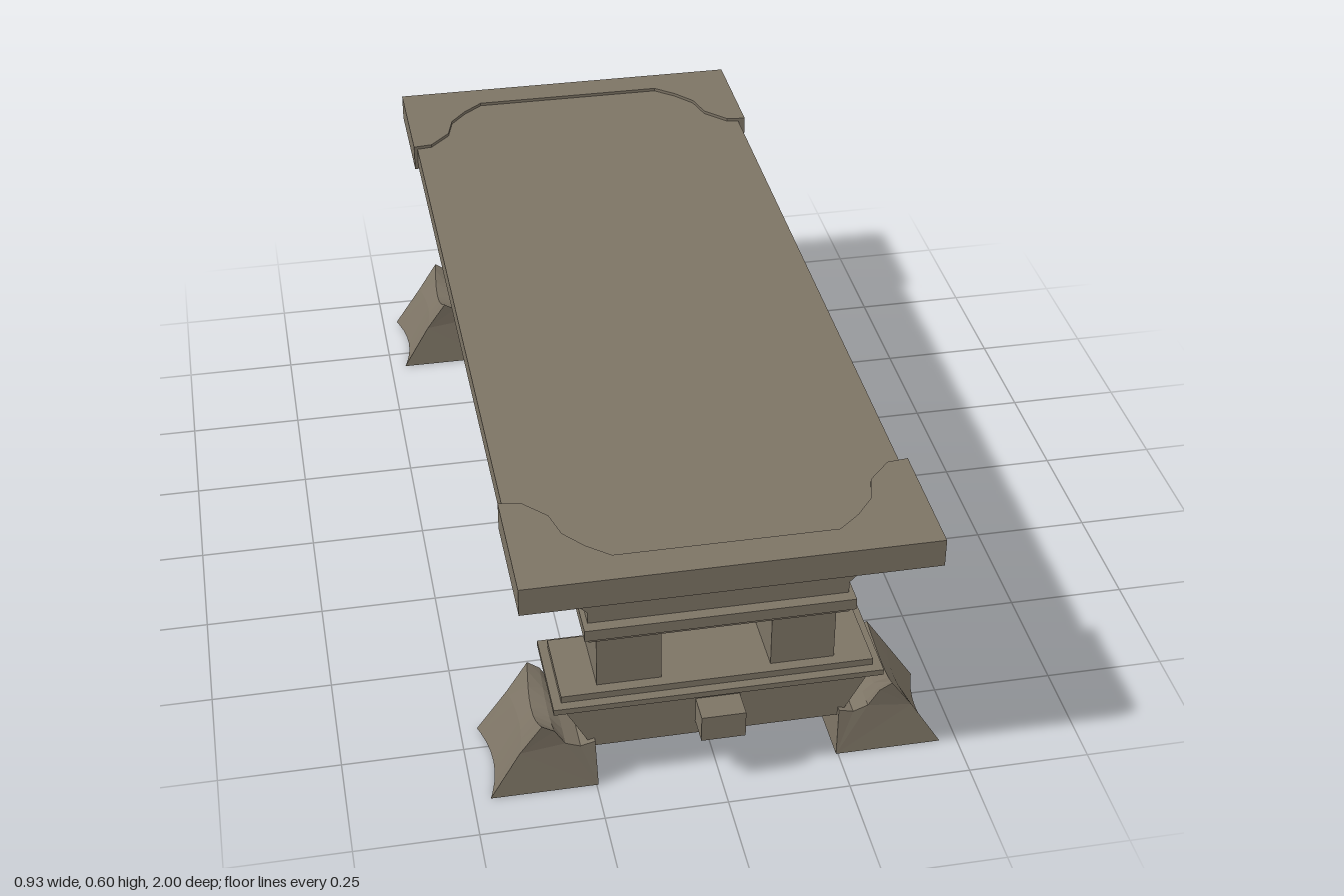
import * as THREE from 'three';

const wood = new THREE.MeshStandardMaterial({ color: 0x7d7465, flatShading: true });
wood.name = 'weathered wood';

function add(parent, name, geometry, x = 0, y = 0, z = 0) {
  const mesh = new THREE.Mesh(geometry, wood);
  mesh.name = name;
  mesh.position.set(x, y, z);
  parent.add(mesh);
  return mesh;
}

// Box given by half width, bottom, top and half depth
function slab(parent, name, hx, y0, y1, hz, x = 0) {
  return add(parent, name, new THREE.BoxGeometry(hx * 2, y1 - y0, hz * 2), x, (y0 + y1) / 2, 0);
}

function extrude(points, depth) {
  const shape = new THREE.Shape(points.map(([x, y]) => new THREE.Vector2(x, y)));
  return new THREE.ExtrudeGeometry(shape, { depth, bevelEnabled: false });
}

// Mirrors the right half of an outline to close it
const mirrored = (half) => [...half, ...half.slice().reverse().map(([x, y]) => [-x, y])];

// Flared foot: sections lofted along z, scooped in the middle, hollow underneath
function footGeometry() {
  const stations = [-1, -0.86, -0.55, -0.28, 0, 0.28, 0.55, 0.86, 1];
  const section = (t) => {
    const s = 1 - t * t;
    const recess = Math.abs(t) > 0.8 ? 0 : 0.08;
    return [
      [0.465 - 0.02 * s, 0], [0.402 - 0.012 * s, 0.1], [0.357 + 0.008 * s, 0.167 - 0.035 * s],
      [0.332, 0.15 - 0.025 * s], [0.31, 0.112], [0.28, 0.1], [0.25, 0.108], [0.246, 0],
      [0.264, 0], [0.295, recess], [0.375, recess], [0.428, 0],
    ];
  };
  const halfDepth = (y) => 0.106 - 0.011 * Math.sin(Math.min(y / 0.167, 1) * Math.PI * 0.8);
  const positions = [], index = [];
  const rings = stations.map(section);
  const n = rings[0].length;
  rings.forEach((ring, k) => ring.forEach(([x, y]) => positions.push(x, y, stations[k] * halfDepth(y))));
  for (let k = 0; k < rings.length - 1; k++) {
    for (let i = 0; i < n; i++) {
      const a = k * n + i, b = k * n + (i + 1) % n;
      index.push(a, b, a + n, b, b + n, a + n);
    }
  }
  // End faces
  const outline = rings[0].map(([x, y]) => new THREE.Vector2(x, y));
  const last = (rings.length - 1) * n;
  for (const [a, b, c] of THREE.ShapeUtils.triangulateShape(outline, [])) {
    index.push(a, c, b, last + a, last + b, last + c);
  }
  const geometry = new THREE.BufferGeometry();
  geometry.setAttribute('position', new THREE.Float32BufferAttribute(positions, 3));
  geometry.setIndex(index);
  const flat = geometry.toNonIndexed();
  flat.computeVertexNormals();
  return flat;
}

function createTrestle() {
  const trestle = new THREE.Group();
  // Notched bracket under the top
  const bracket = mirrored([[0.26, 0.4], [0.26, 0.425], [0.32, 0.485], [0.32, 0.545], [0.115, 0.545], [0.115, 0.485]]);
  add(trestle, 'upperBracket', extrude(bracket, 0.16), 0, 0, -0.08);

  // Stepped mouldings
  slab(trestle, 'upperMoulding', 0.27, 0.375, 0.4, 0.104);
  slab(trestle, 'upperMouldingStep', 0.26, 0.36, 0.375, 0.09);
  slab(trestle, 'lowerMouldingStep', 0.316, 0.213, 0.228, 0.088);
  slab(trestle, 'lowerMoulding', 0.334, 0.2, 0.213, 0.108);

  for (const side of [-1, 1]) slab(trestle, 'post', 0.065, 0.228, 0.36, 0.065, side * 0.176);

  // Tapered cross beam
  add(trestle, 'crossBeam', extrude(mirrored([[0.255, 0.088], [0.316, 0.2]]), 0.17), 0, 0, -0.085);

  // Feet
  const foot = footGeometry();
  add(trestle, 'leftFoot', foot);
  add(trestle, 'rightFoot', foot).rotation.y = Math.PI;
  return trestle;
}

export function createModel() {
  const table = new THREE.Group();
  table.name = 'trestleTable';

  slab(table, 'tableTop', 0.396, 0.547, 0.593, 0.98, -0.004);

  // Raised end caps with a scalloped inner edge
  const capOutline = mirrored([
    [0.408, 1], [0.408, 0.73], [0.365, 0.735], [0.318, 0.785], [0.302, 0.845], [0.265, 0.89], [0.22, 0.928],
  ]);
  const cap = extrude(capOutline, 0.06);
  cap.rotateX(Math.PI / 2);

  for (const end of [0, 1]) {
    const name = end ? 'back' : 'front';
    add(table, name + 'EndCap', cap, 0, 0.6, 0).rotation.y = end * Math.PI;
    const trestle = createTrestle();
    trestle.name = name + 'Trestle';
    trestle.position.z = end ? -0.797 : 0.797;
    table.add(trestle);
  }

  // Long rail passing through both trestles
  slab(table, 'stretcher', 0.045, 0.119, 0.178, 0.942);
  return table;
}
